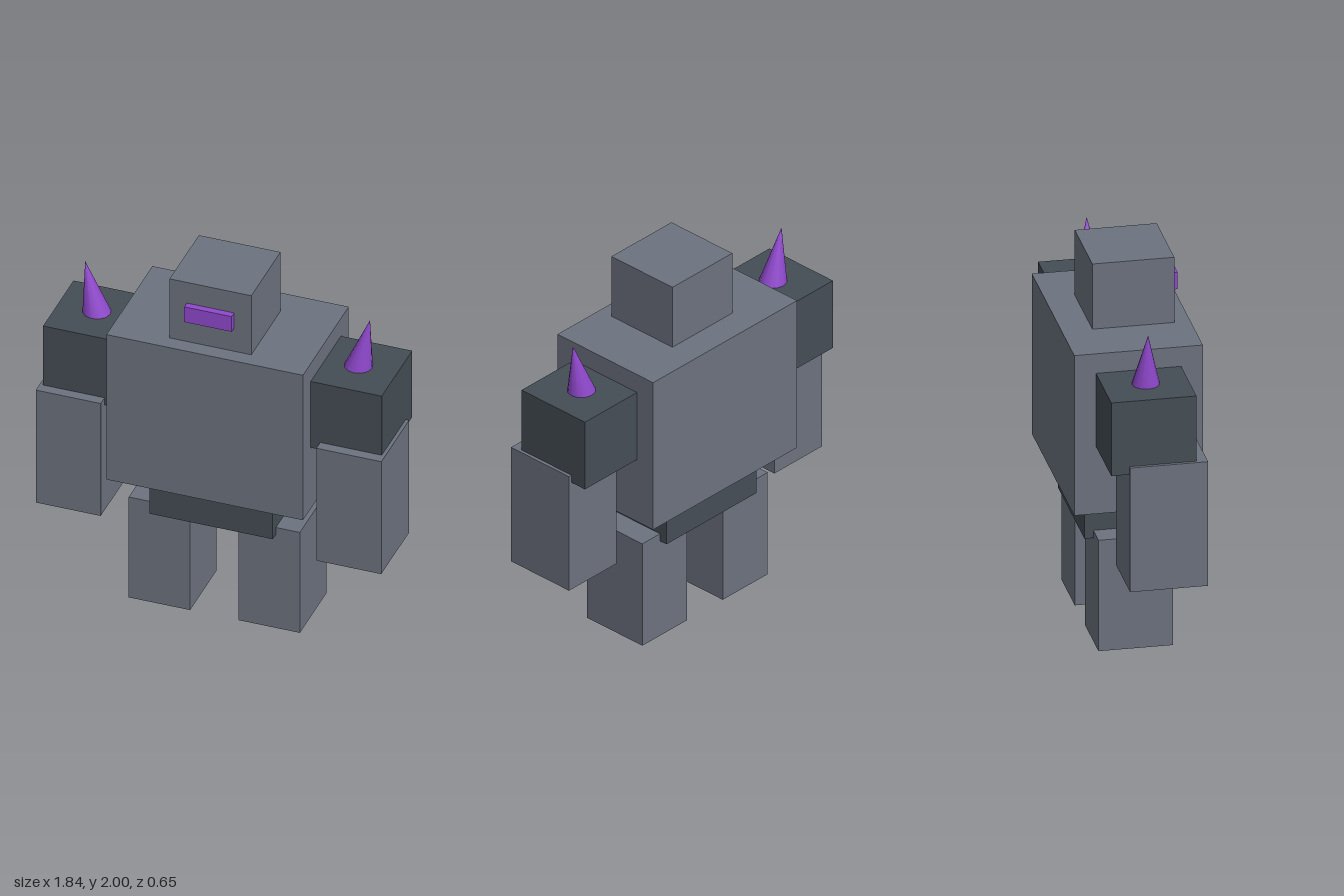
import * as THREE from 'three';

export function createModel() {
  const model = new THREE.Group();
  model.name = 'golem';

  const material = (name, color) => {
    const m = new THREE.MeshStandardMaterial({ color });
    m.name = name;
    return m;
  };
  const stone = material('stone grey', 0x6c727f);
  const darkStone = material('dark stone', 0x454d55);
  const glow = material('purple glow', 0x8f48cc);

  // Box given by its limits on each axis
  const block = (name, mat, [x0, x1], [y0, y1], [z0, z1]) => {
    const mesh = new THREE.Mesh(new THREE.BoxGeometry(x1 - x0, y1 - y0, z1 - z0), mat);
    mesh.position.set((x0 + x1) / 2, (y0 + y1) / 2, (z0 + z1) / 2);
    mesh.name = name;
    model.add(mesh);
  };

  // Centre line: torso, head, visor and pelvis
  block('torso', stone, [-0.522, 0.522], [0.777, 1.646], [-0.327, 0.327]);
  block('head', stone, [-0.217, 0.217], [1.64, 2], [-0.172, 0.245]);
  block('visor', glow, [-0.126, 0.126], [1.785, 1.876], [0.23, 0.281]);
  block('pelvis', darkStone, [-0.327, 0.327], [0.56, 0.8], [-0.235, 0.235]);

  // Paired limbs, mirrored across x
  for (const [side, s] of [['left', 1], ['right', -1]]) {
    const span = (a, b) => (s > 0 ? [a, b] : [-b, -a]);
    block(`${side}Shoulder`, darkStone, span(0.46, 0.9), [1.143, 1.54], [-0.217, 0.217]);
    block(`${side}Arm`, stone, span(0.573, 0.918), [0.512, 1.186], [-0.125, 0.272]);
    block(`${side}Leg`, stone, span(0.129, 0.455), [0, 0.602], [-0.19, 0.19]);

    // Spike leaning outward, its base sunk into the shoulder
    const cone = new THREE.ConeGeometry(0.085, 0.35, 12);
    cone.translate(0, -0.175, 0); // pivot at the tip
    const spike = new THREE.Mesh(cone, glow);
    spike.position.set(s * 0.757, 1.826, 0);
    spike.rotation.z = -s * 0.2;
    spike.name = `${side}Spike`;
    model.add(spike);
  }

  return model;
}
